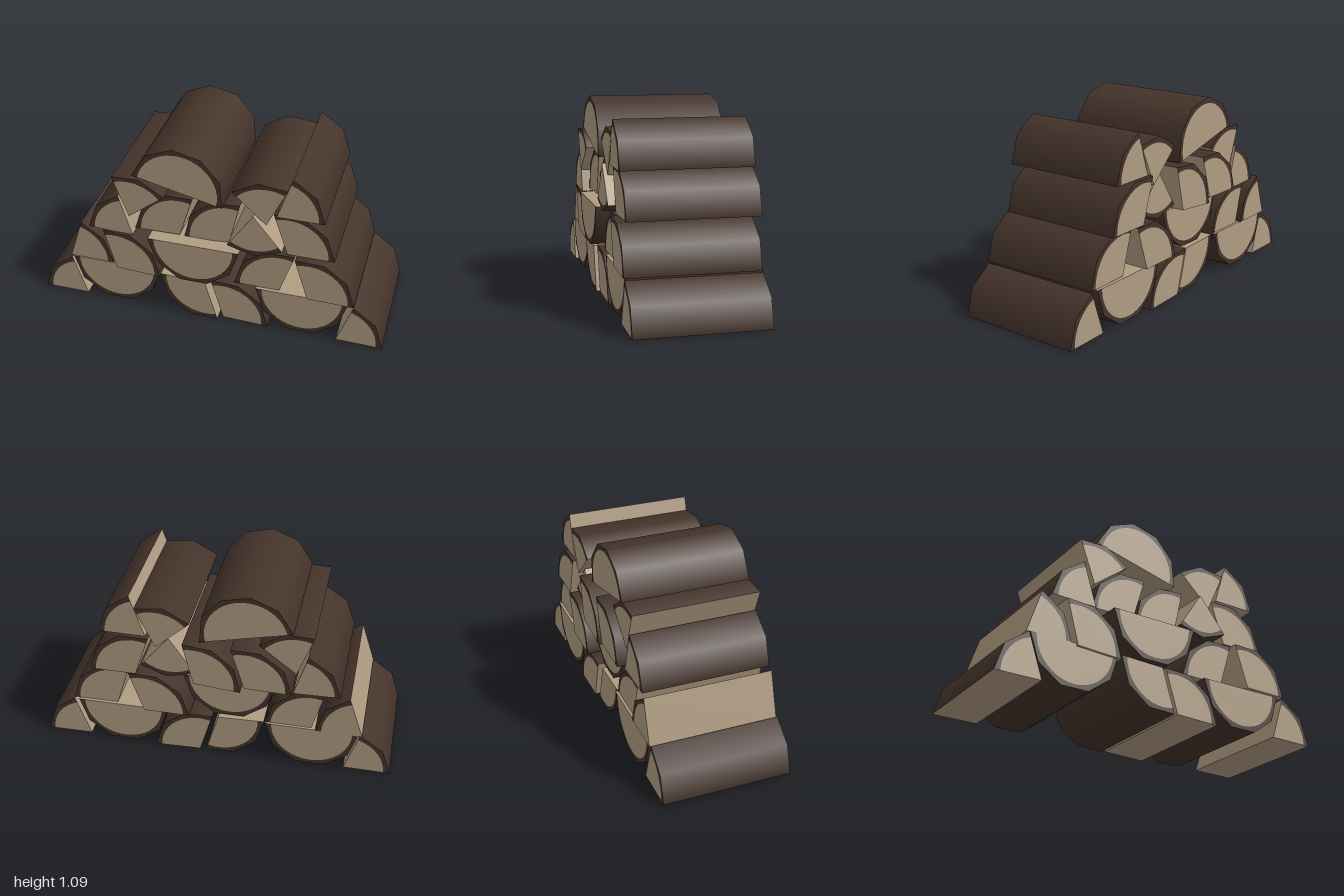
import * as THREE from 'three';
import { mergeGeometries } from 'three/addons/utils/BufferGeometryUtils.js';

const R = 0.26;        // outer bark radius
const WOOD_R = 0.226;  // radius of the pale wood on the sawn ends
const LENGTH = 0.72;
const STEP = Math.PI / 5; // a whole log has ten sides

// Each split log: centre x, centre y, start angle in degrees, sides (5 = half log), z offset
const LOGS = [
  // bottom row
  [-0.74, 0.02, 108, 2, 0.012],
  [-0.55, 0.273, 180, 5, 0.005],
  [-0.02, 0.26, 178, 3, 0.02],
  [0.083, 0.02, -2, 3, 0.005],
  [0.53, 0.273, 180, 5, 0.005],
  [0.737, 0.02, -1, 2, 0.015],
  // second row
  [-0.83, 0.272, 0, 2, 0],
  [-0.543, 0.257, -3, 3, 0.02],
  [-0.08, 0.52, 180, 5, 0.04],
  [0.4, 0.273, 72, 3, -0.015],
  [0.563, 0.278, -1, 3, 0.02],
  // third row
  [-0.437, 0.506, 106.5, 2, 0.012],
  [-0.175, 0.53, 73, 3, -0.03],
  [0.105, 0.528, 77, 3, -0.04],
  [0.252, 0.77, 236.5, 2, 0.018],
  [0.436, 0.53, 0, 3, -0.02],
  // top row
  [-0.45, 0.635, 38, 2, 0.018],
  [-0.175, 0.84, -13.5, 5, 0.005],
  [0.32, 0.715, 65, 2, 0],
  [0.375, 0.78, 0, 2, 0],
];

// Points along an arc from angle a, spanning len
function arc(r, a, len, n) {
  return Array.from({ length: n + 1 }, (_, i) => {
    const t = a + (len * i) / n;
    return new THREE.Vector2(r * Math.cos(t), r * Math.sin(t));
  });
}

// A flat outline repeated on both ends, each facing outward
function bothEnds(points) {
  const front = new THREE.ShapeGeometry(new THREE.Shape(points));
  const back = front.clone();
  front.translate(0, 0, LENGTH / 2);
  back.translate(0, 0, -LENGTH / 2);
  const idx = back.index.array;
  for (let i = 0; i < idx.length; i += 3) [idx[i], idx[i + 1]] = [idx[i + 1], idx[i]];
  const n = back.attributes.normal;
  for (let i = 0; i < n.count; i++) n.setXYZ(i, 0, 0, -1);
  return [front, back];
}

// Split face running from the centre line out to the bark
function splitFace(angle, facing) {
  return new THREE.PlaneGeometry(R, LENGTH)
    .rotateX((-facing * Math.PI) / 2)
    .translate(R / 2, 0, 0)
    .rotateZ(angle);
}

function splitLog(startDeg, sides, bark, wood) {
  const a = THREE.MathUtils.degToRad(startDeg);
  const len = sides * STEP;
  const inner = arc(WOOD_R, a, len, sides * 4);
  const outer = arc(R, a, len, sides);

  const barkSide = new THREE.CylinderGeometry(R, R, LENGTH, sides, 1, true, a + Math.PI / 2, len)
    .rotateX(Math.PI / 2);
  const barkRim = bothEnds([...outer, ...inner.slice().reverse()]);
  const barkMesh = new THREE.Mesh(mergeGeometries([barkSide, ...barkRim]), bark);
  barkMesh.name = 'bark';

  const woodEnds = bothEnds([new THREE.Vector2(0, 0), ...inner]);
  const woodMesh = new THREE.Mesh(
    mergeGeometries([...woodEnds, splitFace(a, -1), splitFace(a + len, 1)]), wood);
  woodMesh.name = 'splitWood';

  const log = new THREE.Group();
  log.add(barkMesh, woodMesh);
  return log;
}

export function createModel() {
  const bark = new THREE.MeshStandardMaterial({ color: 0x44332a });
  bark.name = 'dark bark';
  const wood = new THREE.MeshStandardMaterial({ color: 0xb09c82 });
  wood.name = 'pale wood';

  const model = new THREE.Group();
  model.name = 'firewoodPile';
  LOGS.forEach(([x, y, start, sides, z], i) => {
    const log = splitLog(start, sides, bark, wood);
    log.name = `${sides === 5 ? 'halfLog' : 'logWedge'}${i + 1}`;
    log.position.set(x, y, z);
    model.add(log);
  });
  return model;
}
